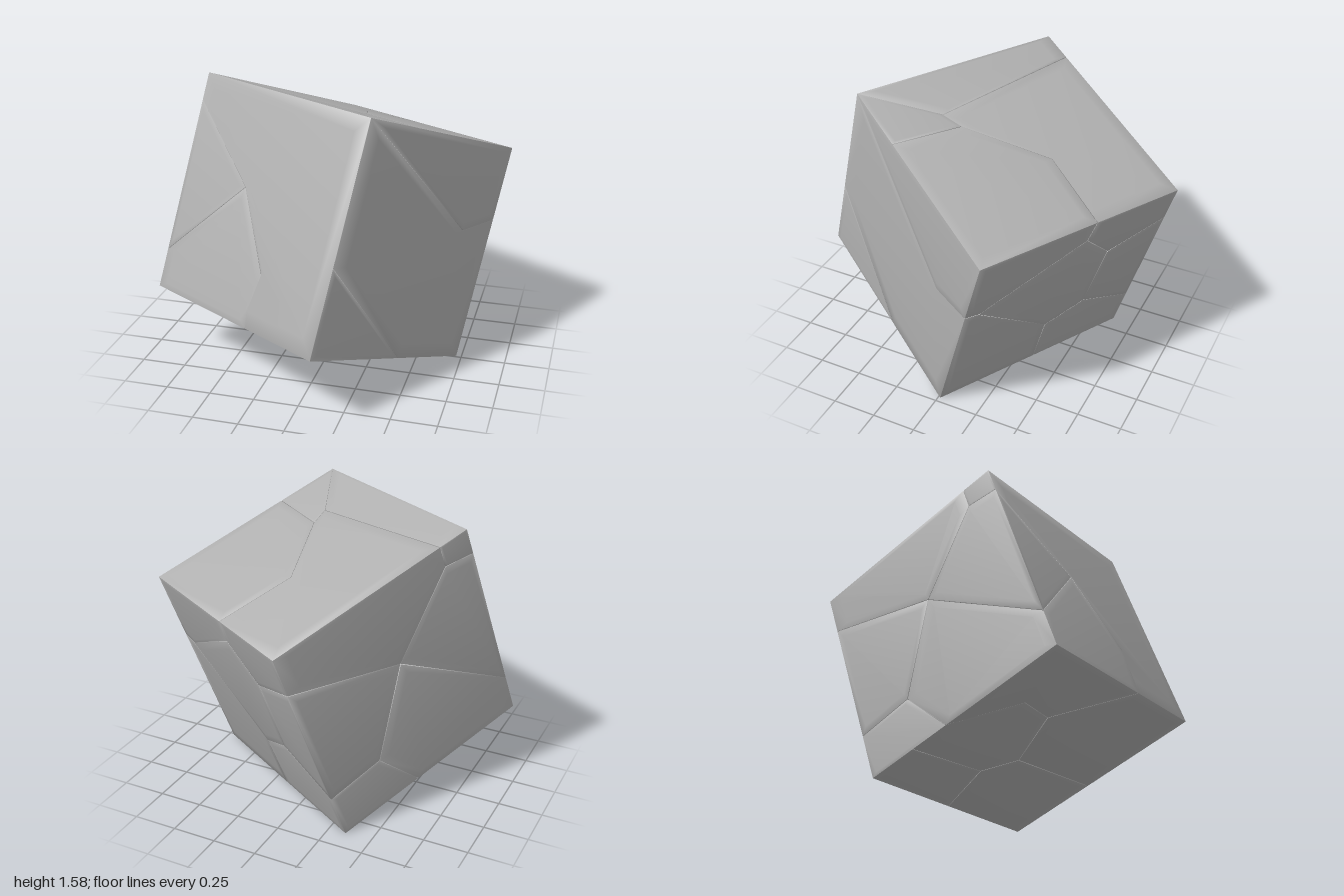
import * as THREE from 'three';

const S = 1.236; // edge length of the tilted cube
const CENTER = new THREE.Vector3(0, 0.795, 0);

// Cube axes: u along the level edges, v towards the back, w down the front
const U = new THREE.Vector3(0.866, 0, 0.5).normalize();
const V = new THREE.Vector3(0.469, -0.34, -0.814).normalize();
const W = new THREE.Vector3().crossVectors(V, U).normalize();
const ORIGIN = CENTER.clone().addScaledVector(U, -S / 2).addScaledVector(V, -S / 2).addScaledVector(W, -S / 2);

// Each face: two in-plane axes, the outward axis, which side, and the cracks that split it
const FACES = [
  { name: 'top', a: U, b: V, n: W, far: false, cracks: [
    [[0, 0.18], [0.89, 0.3], [S, 0]],
    [[0.89, 0.3], [0.84, 0.41], [0.51, 0.79], [0.53, S]],
    [[0.84, 0.41], [S, 0.38]],
  ] },
  { name: 'front', a: U, b: W, n: V, far: false, cracks: [
    [[0, 0.15], [0.5, 0.53], [0.79, 0.97], [0.74, S]],
    [[0.5, 0.53], [0, 1.02]],
  ] },
  { name: 'left', a: V, b: W, n: U, far: true, cracks: [
    [[0, 0], [0.98, 0.5], [S, 0.42]],
    [[0, 0.757], [0.7, S]],
  ] },
  { name: 'right', a: V, b: W, n: U, far: false, cracks: [
    [[0.18, 0], [0.18, 0.12], [0, 0.15]],
    [[0.18, 0.12], [0.6, 0.48], [0, 1.02]],
    [[0.6, 0.48], [S, 0.23]],
    [[0.6, 0.48], [0.9, 0.95], [0.72, S]],
    [[0.9, 0.95], [S, 0.97]],
  ] },
  { name: 'back', a: U, b: W, n: V, far: true, cracks: [
    [[0.53, 0], [0.55, 0.14], [1.15, 0.44], [S, 0.42]],
    [[0.55, 0.14], [0.35, 0.345], [0, 0.23]],
    [[0.35, 0.345], [0.37, 0.8], [0, 0.97]],
    [[0.37, 0.8], [0.61, 0.9], [0.6, S]],
    [[1.15, 0.44], [0.69, 0.83], [0.61, 0.9]],
  ] },
  { name: 'bottom', a: U, b: V, n: W, far: true, cracks: [
    [[0, 0.72], [0.23, 0.38], [0.45, 0.4], [0.74, 0]],
    [[0.45, 0.4], [0.62, 0.735], [S, 0.7]],
    [[0.62, 0.735], [0.5, 0.91], [0, 0.95]],
    [[0.5, 0.91], [0.6, S]],
  ] },
];

const onRim = (t) => t === 0 || t === S;
const gap = (p, q) => Math.hypot(p[0] - q[0], p[1] - q[1]);

// Returns the outline rotated to start at the point, adding it if it lies on an edge
function startAt(outline, point) {
  for (let i = 0; i < outline.length; i++) {
    const p = outline[i], q = outline[(i + 1) % outline.length];
    if (gap(p, point) < 1e-6) return [...outline.slice(i), ...outline.slice(0, i)];
    if (gap(q, point) > 1e-6 && gap(p, point) + gap(point, q) - gap(p, q) < 1e-6) {
      return [point, ...outline.slice(i + 1), ...outline.slice(0, i + 1)];
    }
  }
  return null;
}

// Splits the square face along its cracks, one after another
function splitFace(cracks) {
  const cells = [[[0, 0], [S, 0], [S, S], [0, S]]];
  for (const crack of cracks) {
    const first = crack[0], last = crack[crack.length - 1], middle = crack.slice(1, -1);
    const index = cells.findIndex((c) => startAt(c, first) && startAt(c, last));
    const outline = startAt(startAt(cells[index], last), first);
    const end = outline.findIndex((p) => gap(p, last) < 1e-6);
    cells.splice(index, 1,
      [...outline.slice(0, end + 1), ...middle.slice().reverse()],
      [...outline.slice(end), outline[0], ...middle]);
  }
  return cells;
}

// One plate: a flat polygon with softened edge normals and short walls inside the cracks
function plateGeometry(face, cell) {
  const out = face.n.clone().multiplyScalar(face.far ? 1 : -1);
  const cx = cell.reduce((s, p) => s + p[0], 0) / cell.length;
  const cy = cell.reduce((s, p) => s + p[1], 0) / cell.length;
  const place = (x, y, depth) => ORIGIN.clone().addScaledVector(face.a, x).addScaledVector(face.b, y)
    .addScaledVector(face.n, face.far ? S : 0).addScaledVector(out, -depth);
  const pos = [], nor = [];

  // Adds a triangle, turned so that it faces along its own normals
  const tri = (p, q, r) => {
    const turn = q.p.clone().sub(p.p).cross(r.p.clone().sub(p.p)).dot(p.n.clone().add(q.n).add(r.n));
    for (const c of turn < 0 ? [p, r, q] : [p, q, r]) {
      pos.push(...c.p.toArray());
      nor.push(...c.n.toArray());
    }
  };
  // A corner pulled towards the middle; points on the cube's edges stay there
  const corner = (x, y, scale, tilt, depth = 0) => {
    const dx = x - cx, dy = y - cy, len = Math.hypot(dx, dy);
    const fit = (t, mid) => (scale > 0.99 && onRim(t) ? t : mid + (t - mid) * scale);
    const n = out.clone().addScaledVector(face.a, dx / len * tilt).addScaledVector(face.b, dy / len * tilt);
    return { p: place(fit(x, cx), fit(y, cy), depth), n: n.normalize() };
  };

  const rim = cell.map(([x, y]) => corner(x, y, 0.994, onRim(x) || onRim(y) ? 0.4 : 0.25));
  const inner = cell.map(([x, y]) => corner(x, y, 0.86, 0.07));
  const base = cell.map(([x, y]) => corner(x, y, 0.994, 5, 0.025));
  const flat = cell.map(([x, y]) => new THREE.Vector2(x, y));
  for (const [i, j, k] of THREE.ShapeUtils.triangulateShape(flat, [])) tri(inner[i], inner[j], inner[k]);
  cell.forEach((p, i) => {
    const j = (i + 1) % cell.length, q = cell[j];
    tri(rim[i], rim[j], inner[j]);
    tri(rim[i], inner[j], inner[i]);
    if ([0, 1].some((d) => p[d] === q[d] && onRim(p[d]))) return;
    const lipI = { p: rim[i].p, n: base[i].n }, lipJ = { p: rim[j].p, n: base[j].n };
    tri(lipI, lipJ, base[j]);
    tri(lipI, base[j], base[i]);
  });

  const g = new THREE.BufferGeometry();
  g.setAttribute('position', new THREE.Float32BufferAttribute(pos, 3));
  g.setAttribute('normal', new THREE.Float32BufferAttribute(nor, 3));
  return g;
}

export function createModel() {
  const stone = new THREE.MeshStandardMaterial({ color: 0xb0b0b0 });
  stone.name = 'greyStone';
  const model = new THREE.Group();
  model.name = 'crackedCube';

  // Solid core seen at the bottom of the cracks
  const core = new THREE.Mesh(new THREE.BoxGeometry(S - 0.03, S - 0.03, S - 0.03), stone);
  core.name = 'core';
  core.quaternion.setFromRotationMatrix(new THREE.Matrix4().makeBasis(U, W.clone().negate(), V.clone().negate()));
  core.position.copy(CENTER);
  model.add(core);

  // Broken plates on all six faces
  for (const face of FACES) {
    const group = new THREE.Group();
    group.name = face.name + 'Face';
    splitFace(face.cracks).forEach((cell, i) => {
      const plate = new THREE.Mesh(plateGeometry(face, cell), stone);
      plate.name = face.name + 'Plate' + (i + 1);
      group.add(plate);
    });
    model.add(group);
  }
  return model;
}
